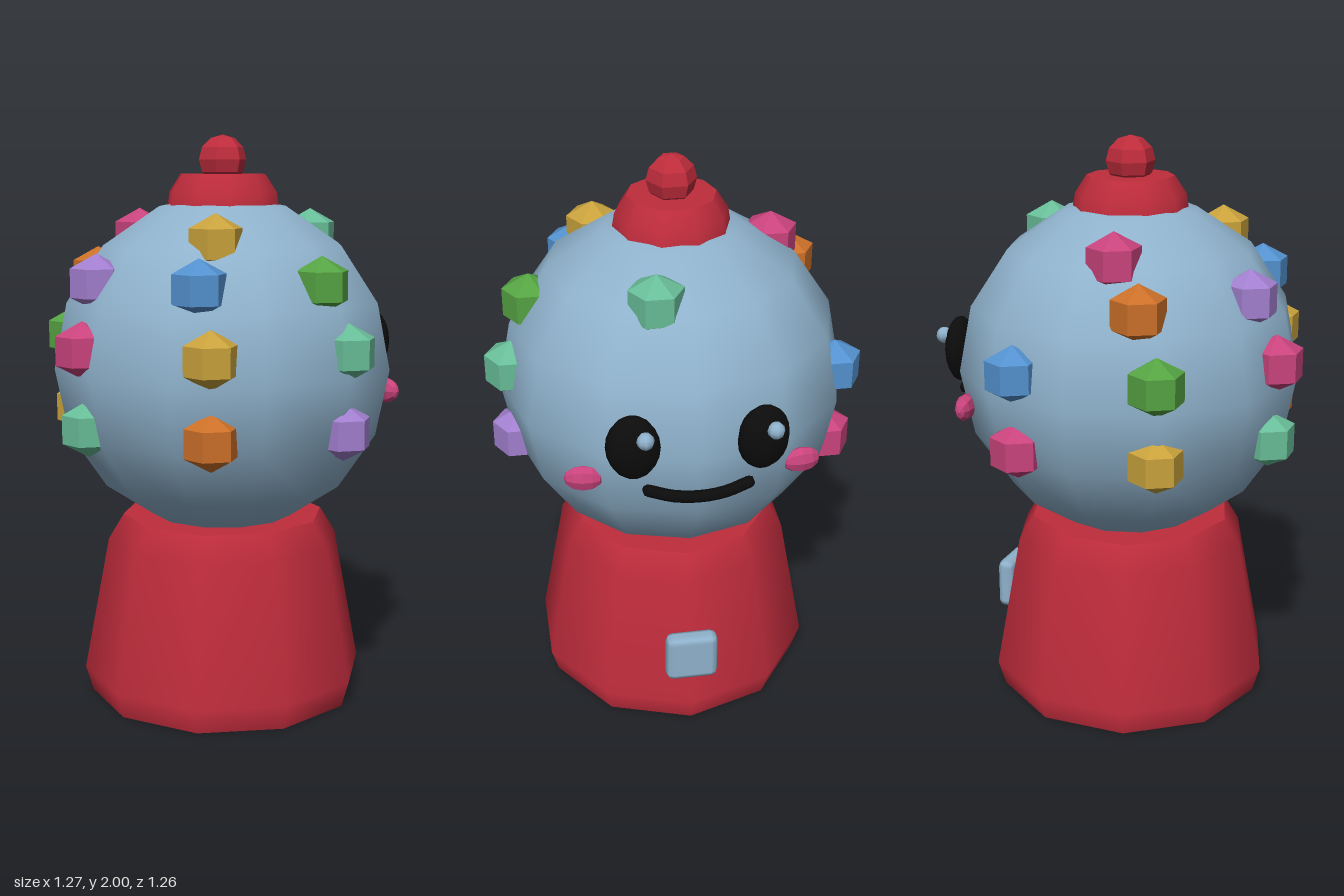
import * as THREE from 'three';
import { RoundedBoxGeometry } from 'three/addons/geometries/RoundedBoxGeometry.js';

const mat = (name, color) => {
  const m = new THREE.MeshStandardMaterial({ color });
  m.name = name;
  return m;
};

export function createModel() {
  const red = mat('red', 0xbf2c3c), glass = mat('paleBlue', 0x8fb2cc), black = mat('black', 0x0c0c0c);
  const pink = mat('pink', 0xc9437c), orange = mat('orange', 0xcc7029), green = mat('green', 0x55a443);
  const teal = mat('teal', 0x68bd98), yellow = mat('yellow', 0xc9a23c), blue = mat('blue', 0x5391cf);
  const purple = mat('purple', 0xa27fcf);

  const model = new THREE.Group();
  model.name = 'gumballMachine';
  const ZC = -0.016; // depth of the centre line

  const add = (name, geometry, material, x, y, z, parent = model) => {
    const mesh = new THREE.Mesh(geometry, material);
    mesh.name = name;
    mesh.position.set(x, y, z);
    parent.add(mesh);
    return mesh;
  };
  const faceted = (geometry) => {
    const g = geometry.toNonIndexed();
    g.computeVertexNormals();
    return g;
  };

  // Ten-sided turned part with smooth sides and flat, sharp-edged ends
  const turned = (name, profile, turn) => {
    const group = new THREE.Group();
    group.name = name;
    group.position.z = ZC;
    group.rotation.y = turn;
    model.add(group);
    const points = profile.map(([r, y]) => new THREE.Vector2(r, y));
    add(name + 'Side', new THREE.LatheGeometry(points, 10), red, 0, 0, 0, group);
    const [r0, y0] = profile[0], [r1, y1] = profile[profile.length - 1];
    const disc = (r, dir) => new THREE.CircleGeometry(r, 10).rotateZ(Math.PI / 2).rotateX(dir * Math.PI / 2);
    add(name + 'Bottom', disc(r0, 1), red, 0, y0, 0, group);
    add(name + 'Top', disc(r1, -1), red, 0, y1, 0, group);
  };
  turned('base', [[0.48, 0], [0.506, 0.09], [0.415, 0.57], [0.36, 0.66]], Math.PI / 2);
  turned('cap', [[0.2, 1.745], [0.19, 1.805], [0.15, 1.866]], 0);

  // Globe and top knob
  add('globe', new THREE.SphereGeometry(0.6, 12, 8), glass, 0, 1.2, ZC);
  add('knob', faceted(new THREE.SphereGeometry(0.085, 6, 6).rotateY(Math.PI / 6)), red, 0, 1.915, ZC);

  // Coin plate on the front of the base
  add('coinPlate', new RoundedBoxGeometry(0.065, 0.185, 0.185, 1, 0.025), glass, 0.478, 0.298, ZC);

  // Hexagonal gumballs set into the globe
  const gumball = faceted(new THREE.SphereGeometry(0.098, 6, 3).rotateY(Math.PI / 6).scale(1.07, 1, 1.07));
  const low = 1.02, middle = 1.288, upper = 1.507, top = 1.645;
  const gumballs = [
    [green, -0.01, upper, 0.465], [teal, 0.043, middle, 0.54], [purple, 0.04, low, 0.527],
    [yellow, -0.257, top, 0.22], [blue, -0.387, upper, 0.28], [yellow, -0.415, middle, 0.365],
    [orange, -0.405, low, 0.355], [purple, -0.467, upper, -0.14], [pink, -0.555, middle, -0.112],
    [teal, -0.535, low, -0.11], [pink, -0.08, top, -0.37], [orange, -0.2, upper, -0.465],
    [green, -0.28, middle, -0.515], [yellow, -0.27, low, -0.49], [blue, 0.205, middle, -0.543],
    [pink, 0.205, low, -0.52], [teal, 0.34, top, 0.085],
  ];
  for (const [material, x, y, z] of gumballs) add('gumball', gumball, material, x, y, z);

  // Face: eyes, highlights and cheeks mirrored about the centre line
  const eye = new THREE.SphereGeometry(1, 12, 10).scale(0.05, 0.115, 0.088);
  const glint = new THREE.SphereGeometry(0.029, 8, 6);
  const cheek = faceted(new THREE.SphereGeometry(1, 8, 6).rotateX(Math.PI / 2).scale(0.032, 0.047, 0.064));
  for (const side of [1, -1]) {
    add('eye', eye, black, 0.56, 1.256, ZC + side * 0.21).rotation.y = -side * 0.15;
    add('eyeHighlight', glint, glass, 0.608, 1.306, ZC - 0.031 + side * 0.207);
    add('cheek', cheek, pink, 0.47, 1.094, ZC + side * 0.362).rotation.y = -side * 0.15;
  }

  // Smile: curved tube with rounded ends
  const ends = [1, -1].map((s) => new THREE.Vector3(0.575, 1.097, ZC + s * 0.165));
  const smile = new THREE.CatmullRomCurve3([
    ends[0], new THREE.Vector3(0.592, 1.079, ZC + 0.085), new THREE.Vector3(0.599, 1.074, ZC),
    new THREE.Vector3(0.592, 1.079, ZC - 0.085), ends[1],
  ]);
  add('smile', new THREE.TubeGeometry(smile, 12, 0.02, 6), black, 0, 0, 0);
  for (const p of ends) add('smileEnd', new THREE.SphereGeometry(0.02, 6, 4), black, p.x, p.y, p.z);

  return model;
}
